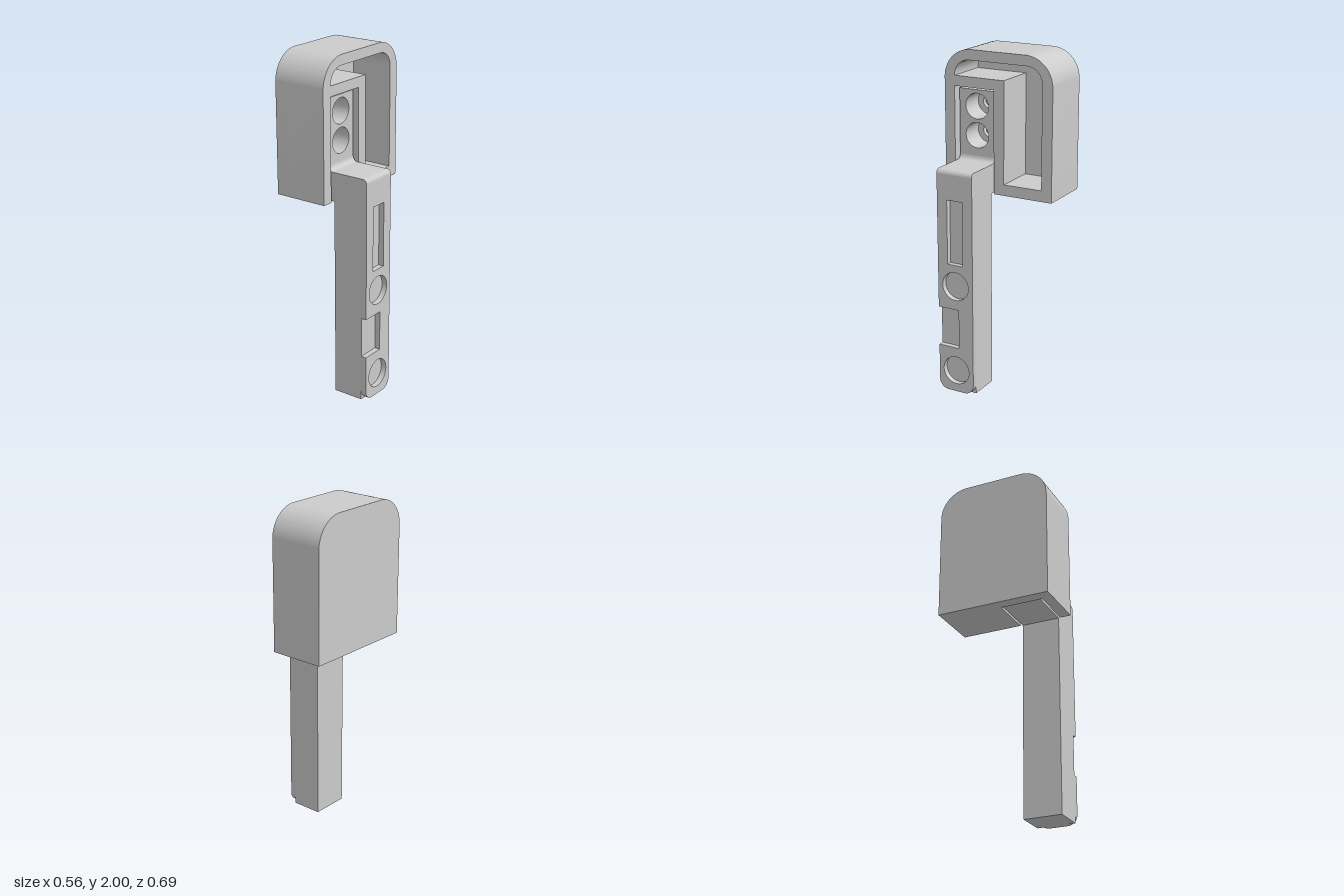
import * as THREE from 'three';
import { toCreasedNormals } from 'three/addons/utils/BufferGeometryUtils.js';

const material = new THREE.MeshStandardMaterial({ color: 0xcccccc });

function extrude(shape, depth) {
  return new THREE.ExtrudeGeometry(shape, { depth, bevelEnabled: false, curveSegments: 14 });
}

function addMesh(group, name, geometry) {
  const mesh = new THREE.Mesh(toCreasedNormals(geometry, 0.5), material);
  mesh.name = name;
  group.add(mesh);
}

// Side-on slab: the shape is drawn in (-z, y) and spans x0..x1
function addSlab(group, name, shape, x0, x1) {
  addMesh(group, name, extrude(shape, x1 - x0).rotateY(Math.PI / 2).translate(x0, 0, 0));
}

function polygon(points, Type = THREE.Shape) {
  return new Type(points.map(([x, y]) => new THREE.Vector2(x, y)));
}

function rect(x0, y0, x1, y1, Type = THREE.Shape) {
  return polygon([[x0, y0], [x1, y0], [x1, y1], [x0, y1]], Type);
}

function circle(x, y, r) {
  return new THREE.Path().absarc(x, y, r, 0, Math.PI * 2, true);
}

// Head outline with round top corners; optionally with a slot open at the bottom
function headShape(slotted) {
  const w = 0.345, r = 0.17;
  const s = new THREE.Shape().moveTo(-w, 1.18);
  if (slotted) s.lineTo(-0.28, 1.18).lineTo(-0.28, 1.785).lineTo(-0.025, 1.785).lineTo(-0.025, 1.18);
  s.lineTo(w, 1.18).lineTo(w, 2 - r);
  s.absarc(w - r, 2 - r, r, 0, Math.PI / 2, false);
  s.lineTo(-w + r, 2);
  s.absarc(-w + r, 2 - r, r, Math.PI / 2, Math.PI, false);
  return s;
}

export function createModel() {
  const model = new THREE.Group();
  const armMid = -0.15, armLeft = -0.265, armRight = -0.035;
  const screwHeights = [1.505, 1.675];

  // Head: closed back wall and a hollow front with an L-shaped cavity
  const head = new THREE.Group();
  head.name = 'head';
  model.add(head);
  addSlab(head, 'headBackWall', headShape(false), -0.28, -0.21);
  const shell = headShape(true);
  const cavity = new THREE.Path().moveTo(-0.28, 1.845).lineTo(0.04, 1.845).lineTo(0.04, 1.245)
    .lineTo(0.28, 1.245).lineTo(0.28, 1.845);
  cavity.absarc(0.185, 1.845, 0.095, 0, Math.PI / 2, false);
  cavity.lineTo(-0.185, 1.94);
  cavity.absarc(-0.185, 1.845, 0.095, Math.PI / 2, Math.PI, false);
  shell.holes.push(cavity);
  addSlab(head, 'headShell', shell, -0.21, 0.05);

  // Tongue in the head slot, with counterbored screw holes
  const arm = new THREE.Group();
  arm.name = 'arm';
  model.add(arm);
  for (const [name, r, x0, x1] of [['tongueFront', 0.075, -0.12, 0.02], ['tongueBack', 0.04, -0.21, -0.12]]) {
    const s = rect(armLeft, 1.185, armRight, 1.77);
    for (const y of screwHeights) s.holes.push(circle(armMid, y, r));
    addSlab(arm, name, s, x0, x1);
  }
  for (const y of screwHeights) {
    const pin = new THREE.CylinderGeometry(0.028, 0.028, 0.08, 24);
    addMesh(arm, 'screwPin', pin.rotateZ(Math.PI / 2).translate(-0.17, y, -armMid));
  }

  // Arm core: side profile with a filleted shoulder and a rounded outer edge
  const core = new THREE.Shape().moveTo(0.06, 0).lineTo(0.247, 0).lineTo(0.247, 1.33).lineTo(0.28, 1.33);
  core.absarc(0.255, 1.33, 0.025, 0, Math.PI / 2, false);
  core.lineTo(0.05, 1.355);
  core.absarc(0.05, 1.385, 0.03, Math.PI * 1.5, Math.PI, true);
  core.lineTo(0, 1.385).lineTo(0, 1.185).lineTo(0.06, 1.185);
  addMesh(arm, 'armCore', extrude(core, 0.23).translate(0, 0, 0.035));

  // Arm face plate: rounded foot, side notch, long slot and two round recesses
  const r = 0.06;
  const plate = new THREE.Shape().moveTo(armLeft + r, 0).lineTo(armRight - r, 0);
  plate.absarc(armRight - r, r, r, -Math.PI / 2, 0, false);
  plate.lineTo(armRight, 1.33).lineTo(armLeft, 1.33).lineTo(armLeft, 0.52).lineTo(-0.13, 0.52)
    .lineTo(-0.13, 0.28).lineTo(armLeft, 0.28).lineTo(armLeft, r);
  plate.absarc(armLeft + r, r, r, Math.PI, Math.PI * 1.5, false);
  plate.holes.push(
    rect(-0.2, 0.795, -0.1, 1.18, THREE.Path),
    circle(armMid, 0.665, 0.086),
    circle(armMid, 0.135, 0.086),
  );
  addSlab(arm, 'armFacePlate', plate, 0.247, 0.28);

  return model;
}
